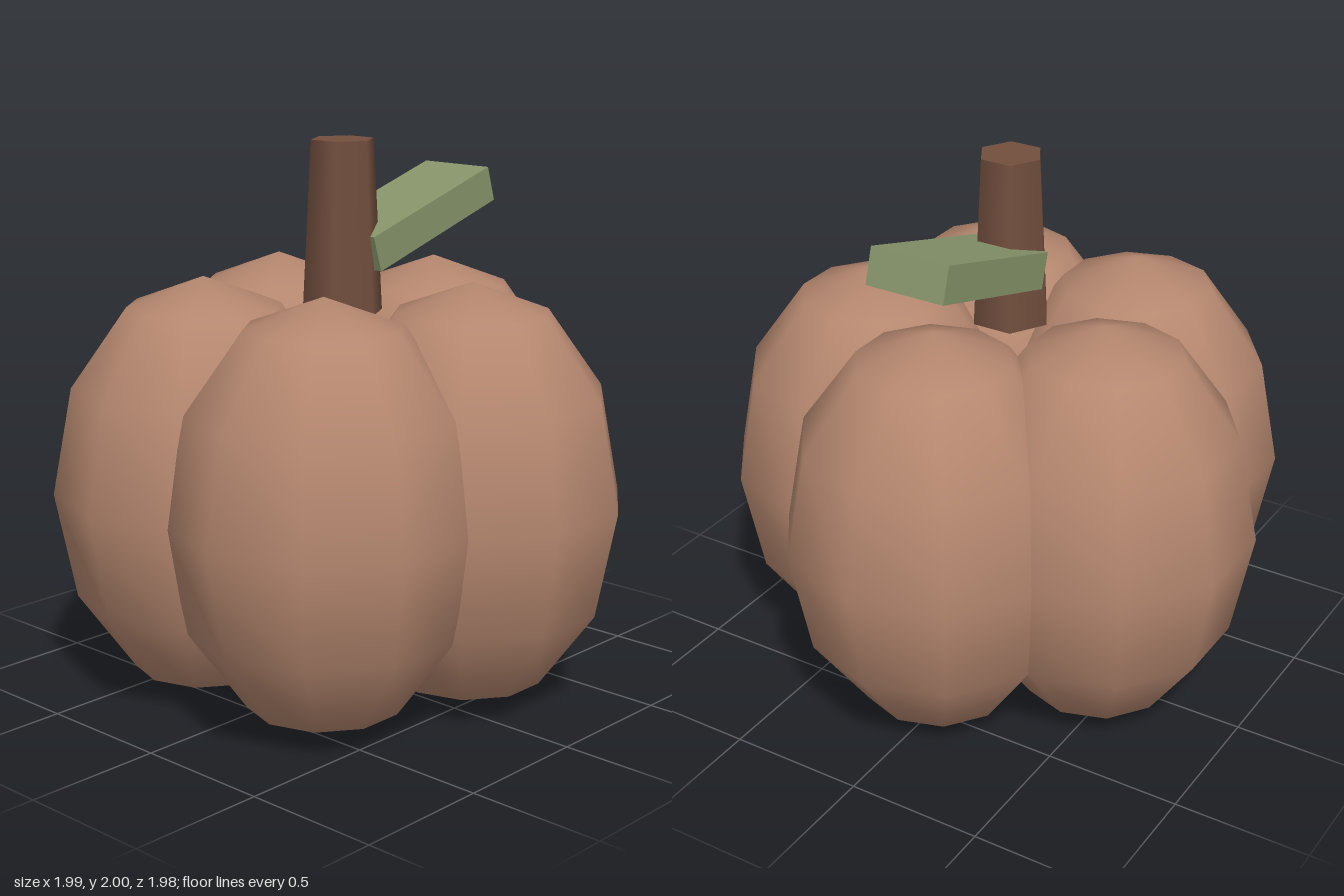
import * as THREE from 'three';

const CENTER_X = -0.05;

function addPart(group, name, geometry, color, x, y, z) {
  const mesh = new THREE.Mesh(geometry, new THREE.MeshStandardMaterial({ color }));
  mesh.name = name;
  mesh.position.set(x, y, z);
  group.add(mesh);
  return mesh;
}

export function createModel() {
  const model = new THREE.Group();
  model.name = 'pumpkin';

  // Five overlapping, vertically stretched lobes in a ring
  const lobes = new THREE.Group();
  lobes.name = 'lobes';
  model.add(lobes);
  const lobeGeometry = new THREE.SphereGeometry(0.545, 10, 6);
  lobeGeometry.scale(1, 0.765 / 0.545, 1);
  for (let i = 0; i < 5; i++) {
    const a = (i / 5) * Math.PI * 2;
    const lobe = addPart(lobes, `lobe${i + 1}`, lobeGeometry, 0xb5876f,
      CENTER_X + 0.495 * Math.cos(a), 0.768, 0.495 * Math.sin(a));
    lobe.rotation.y = -a;
  }

  // Tapered six-sided stem
  addPart(model, 'stem', new THREE.CylinderGeometry(0.115, 0.147, 0.61, 6),
    0x724f3e, CENTER_X, 1.695, 0);

  // Slanted leaf slab growing from the stem
  const leaf = addPart(model, 'leaf', new THREE.BoxGeometry(0.65, 0.13, 0.3),
    0x86946a, 0.28, 1.702, 0);
  leaf.rotation.z = THREE.MathUtils.degToRad(17);

  return model;
}
